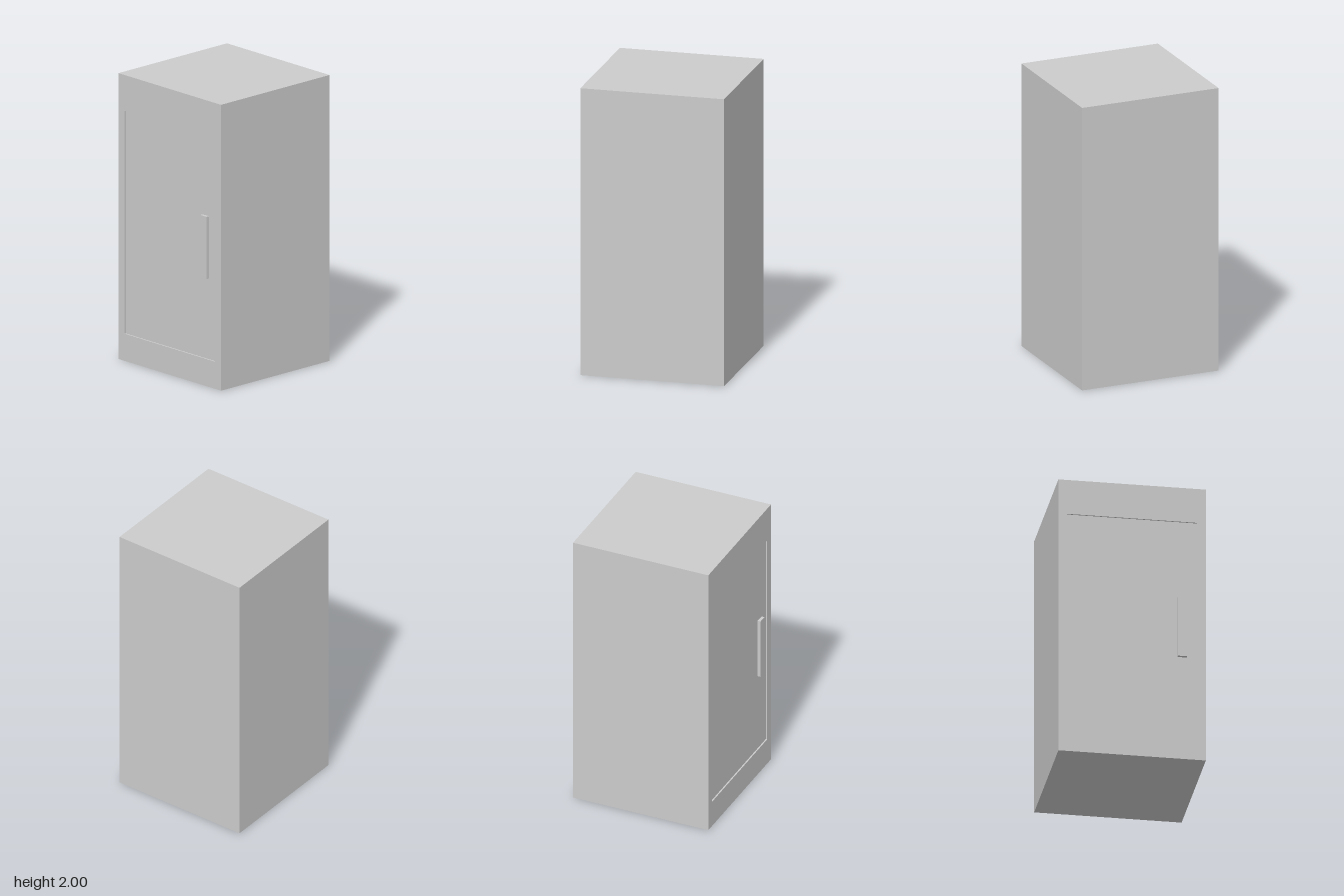
import * as THREE from 'three';

const BACK = -0.505, FRONT = 0.492, RECESS = 0.01;
const DOOR = { w: 0.88, y0: 0.19, y1: 1.75 };

const grey = new THREE.MeshStandardMaterial({ color: 0xcccccc });

// Box without its +z face
function openBox(w, h, d) {
  const g = new THREE.BoxGeometry(w, h, d);
  const index = Array.from(g.index.array);
  index.splice(24, 6);
  g.setIndex(index);
  g.clearGroups();
  return g;
}

function rectangle(path, x0, y0, x1, y1) {
  path.moveTo(x0, y0).lineTo(x1, y0).lineTo(x1, y1).lineTo(x0, y1).closePath();
  return path;
}

export function createModel() {
  const model = new THREE.Group();
  model.name = 'cabinet';

  const add = (name, geometry, x, y, z) => {
    const mesh = new THREE.Mesh(geometry, grey);
    mesh.name = name;
    mesh.position.set(x, y, z);
    model.add(mesh);
  };

  // Top, bottom, sides and back
  add('cabinetBody', openBox(1, 2, FRONT - BACK), 0, 1, (FRONT + BACK) / 2);

  // Flat front frame around the door opening
  const frame = rectangle(new THREE.Shape(), -0.5, 0, 0.5, 2);
  frame.holes.push(rectangle(new THREE.Path(), -DOOR.w / 2, DOOR.y0, DOOR.w / 2, DOOR.y1));
  add('frontFrame', new THREE.ShapeGeometry(frame), 0, 0, FRONT);

  // Shallow recessed door: an open box turned inside out
  const door = openBox(DOOR.w, DOOR.y1 - DOOR.y0, RECESS);
  door.scale(-1, 1, 1);
  door.computeVertexNormals();
  add('door', door, 0, (DOOR.y0 + DOOR.y1) / 2, FRONT - RECESS / 2);

  // Upright handle bar standing on the door
  const handleDepth = 0.021;
  add('handle', new THREE.BoxGeometry(0.062, 0.435, handleDepth),
    0.341, 0.9725, FRONT - RECESS + handleDepth / 2);

  return model;
}
